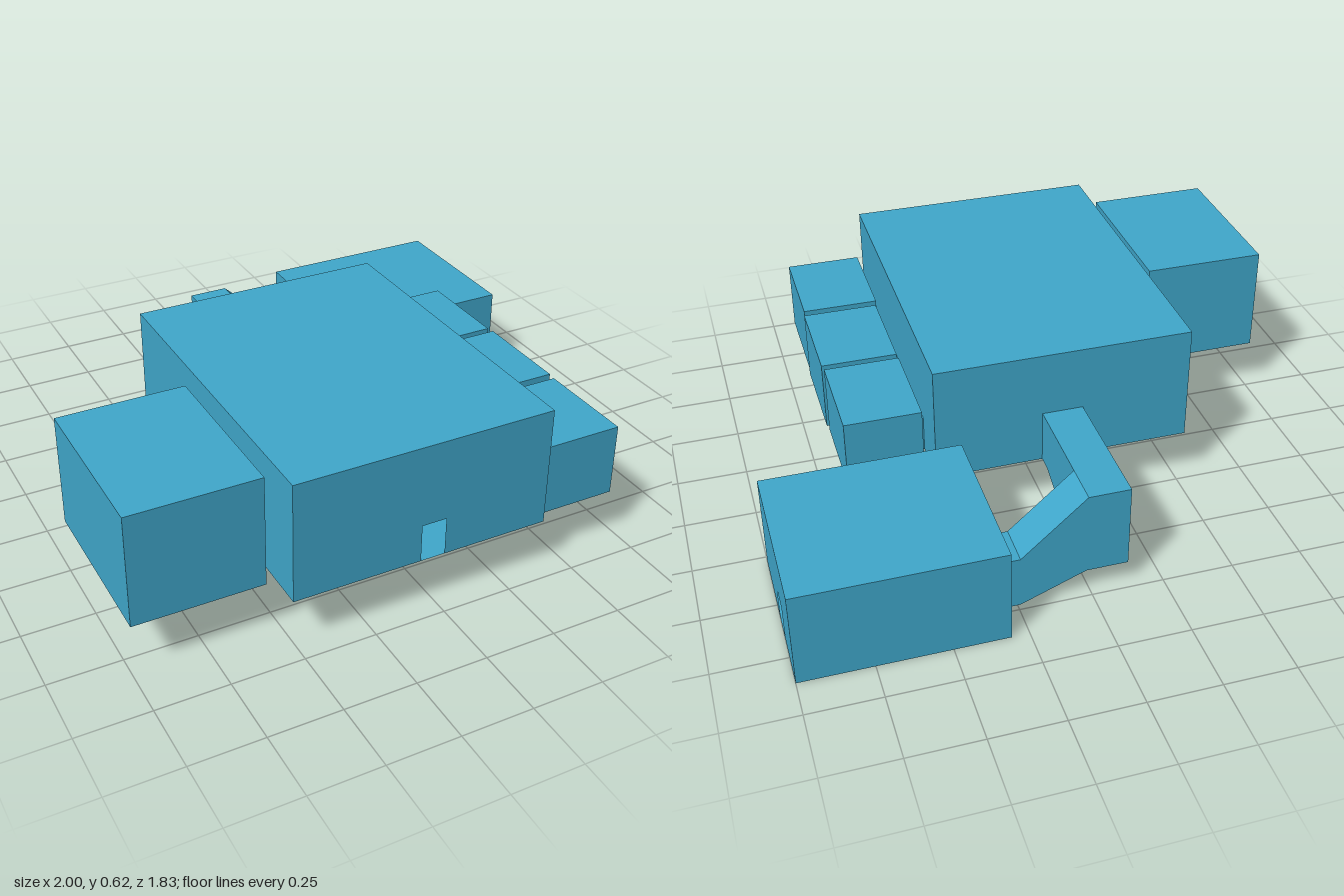
import * as THREE from 'three';
import { mergeGeometries } from 'three/addons/utils/BufferGeometryUtils.js';

const material = new THREE.MeshStandardMaterial({ color: 0x40a8cc, side: THREE.DoubleSide });

// Plane coordinates (u, v) at a given position along an axis
const place = (axis, at, u, v) =>
  axis === 'x' ? [at, v, u] : axis === 'z' ? [u, v, at] : [u, at, v];

// Flat polygon (counter-clockwise u, v points) facing along sign * axis
function panel(axis, at, sign, points) {
  const shape = new THREE.Shape(points.map(([u, v]) => new THREE.Vector2(u, v)));
  const flat = new THREE.ShapeGeometry(shape).toNonIndexed();
  const src = flat.attributes.position;
  const flip = (axis === 'z') !== (sign > 0);
  const out = [];
  for (let i = 0; i < src.count; i += 3) {
    for (const k of flip ? [0, 2, 1] : [0, 1, 2]) {
      out.push(...place(axis, at, src.getX(i + k), src.getY(i + k)));
    }
  }
  return fromPositions(out);
}

// Folded strip: a path swept from a0 to a1; an increasing path faces down
function strip(axis, a0, a1, path) {
  const [s, e] = axis === 'x' ? [a1, a0] : [a0, a1];
  const out = [];
  for (let i = 0; i < path.length - 1; i++) {
    const [p, q] = [path[i], path[i + 1]];
    const [a, b, c, d] = [[s, p], [s, q], [e, q], [e, p]].map(([t, w]) => place(axis, t, w[0], w[1]));
    out.push(...a, ...b, ...c, ...a, ...c, ...d);
  }
  return fromPositions(out);
}

function fromPositions(list) {
  const g = new THREE.BufferGeometry();
  g.setAttribute('position', new THREE.Float32BufferAttribute(list, 3));
  g.computeVertexNormals();
  return g;
}

// Rectangular wall with doorways [from, to, top] cut up from its base
function wall(axis, at, sign, u0, u1, v0, v1, doors = []) {
  const pts = [[u0, v0]];
  for (const [a, b, h] of doors) pts.push([a, v0], [a, h], [b, h], [b, v0]);
  pts.push([u1, v0], [u1, v1], [u0, v1]);
  return panel(axis, at, sign, pts);
}

function addMesh(group, name, parts) {
  const mesh = new THREE.Mesh(mergeGeometries(parts), material);
  mesh.name = name;
  group.add(mesh);
}

// Hollow room; doors are listed per side
function room([x0, x1], [y0, y1], [z0, z1], { left, right, front, back } = {}) {
  return [
    wall('x', x1, 1, z0, z1, y0, y1, left),
    wall('x', x0, -1, z0, z1, y0, y1, right),
    wall('z', z1, 1, x0, x1, y0, y1, front),
    wall('z', z0, -1, x0, x1, y0, y1, back),
    wall('y', y0, -1, x0, x1, z0, z1),
    wall('y', y1, 1, x0, x1, z0, z1),
  ];
}

// Short open passage along x between two doorways
const passage = (x0, x1, [z0, z1, top], y0) => [
  wall('z', z1, 1, x0, x1, y0, top),
  wall('z', z0, -1, x0, x1, y0, top),
  wall('y', y0, -1, x0, x1, z0, z1),
  wall('y', top, 1, x0, x1, z0, z1),
];

// Stair line of risers and treads between two points
function stairs([u0, v0], [u1, v1], count) {
  const pts = [[u0, v0]];
  for (let i = 0; i < count; i++) {
    const v = v0 + ((v1 - v0) * (i + 1)) / count;
    const un = u0 + ((u1 - u0) * (i + 1)) / count;
    pts.push([pts[pts.length - 1][0], v], [un, v]);
  }
  return pts;
}

export function createModel() {
  const model = new THREE.Group();
  model.name = 'roomComplex';
  const base = 0.2, doorTop = 0.335;

  // Doorways shared by neighbouring rooms, as [from, to, top]
  const westDoor = [0.555, 0.64, doorTop];
  const eastDoors = [[-0.07, 0.015, doorTop], [0.31, 0.395, doorTop], [0.7, 0.785, doorTop]];

  // Main hall
  addMesh(model, 'mainHall', room([-0.52, 0.395], [base, 0.625], [-0.245, 0.96], {
    left: eastDoors,
    right: [[0.15, 0.235, doorTop], westDoor],
    front: [[-0.072, 0.015, doorTop]],
    back: [[-0.13, 0.015, 0.392]],
  }));

  // Large side room
  addMesh(model, 'sideRoom', room([-1, -0.555], [base, 0.595], [0.245, 0.845], { left: [westDoor] }));
  addMesh(model, 'sideRoomPassage', passage(-0.555, -0.52, westDoor, base));

  // Row of three small rooms
  const cells = [
    [[0.428, 0.695], [-0.21, 0.145]],
    [[0.43, 0.7], [0.17, 0.53]],
    [[0.422, 0.695], [0.56, 0.92]],
  ];
  cells.forEach(([xs, zs], i) => {
    addMesh(model, `smallRoom${i + 1}`, room(xs, [base, 0.457], zs, { right: [eastDoors[i]] }));
    addMesh(model, `smallRoomPassage${i + 1}`, passage(0.395, xs[0], eastDoors[i], base));
  });

  // Lower back room
  addMesh(model, 'lowerRoom', room([0.31, 1], [0, 0.342], [-0.865, -0.272], {
    left: [[-0.66, -0.575, 0.132]],
    right: [[-0.728, -0.58, 0.192]],
  }));

  // L-shaped stairway: lower flight along x, landing, upper flight along z
  const [xa, xb, za, zb] = [-0.13, 0.015, -0.728, -0.58];
  const lowFloor = [[xb, 0.09], [0.24, 0], [0.31, 0]];
  const lowRoof = [[0.31, 0.192], [0.24, 0.192], [xb, 0.392]];
  const highFloor = [[zb, 0.09], [-0.3, base], [-0.245, base]];
  const highRoof = [[-0.245, 0.392], [zb, 0.392]];
  addMesh(model, 'stairwayShell', [
    panel('z', za, -1, [[xa, 0.09], ...lowFloor, ...lowRoof, [xa, 0.392]]),
    panel('z', zb, 1, [...lowFloor, ...lowRoof]),
    panel('x', xa, -1, [[za, 0.09], ...highFloor, ...highRoof, [za, 0.392]]),
    panel('x', xb, 1, [...highFloor, ...highRoof]),
    strip('z', za, zb, [[xa, 0.09], ...lowFloor]),
    strip('z', za, zb, [...lowRoof, [xa, 0.392]]),
    strip('x', xa, xb, highFloor),
    strip('x', xa, xb, highRoof),
  ]);

  // Steps inside both flights
  addMesh(model, 'steps', [
    strip('z', za, zb, stairs([0.24, 0], [xb, 0.09], 6)),
    strip('x', xa, xb, stairs([zb, 0.09], [-0.3, base], 7).reverse()),
  ]);

  return model;
}
